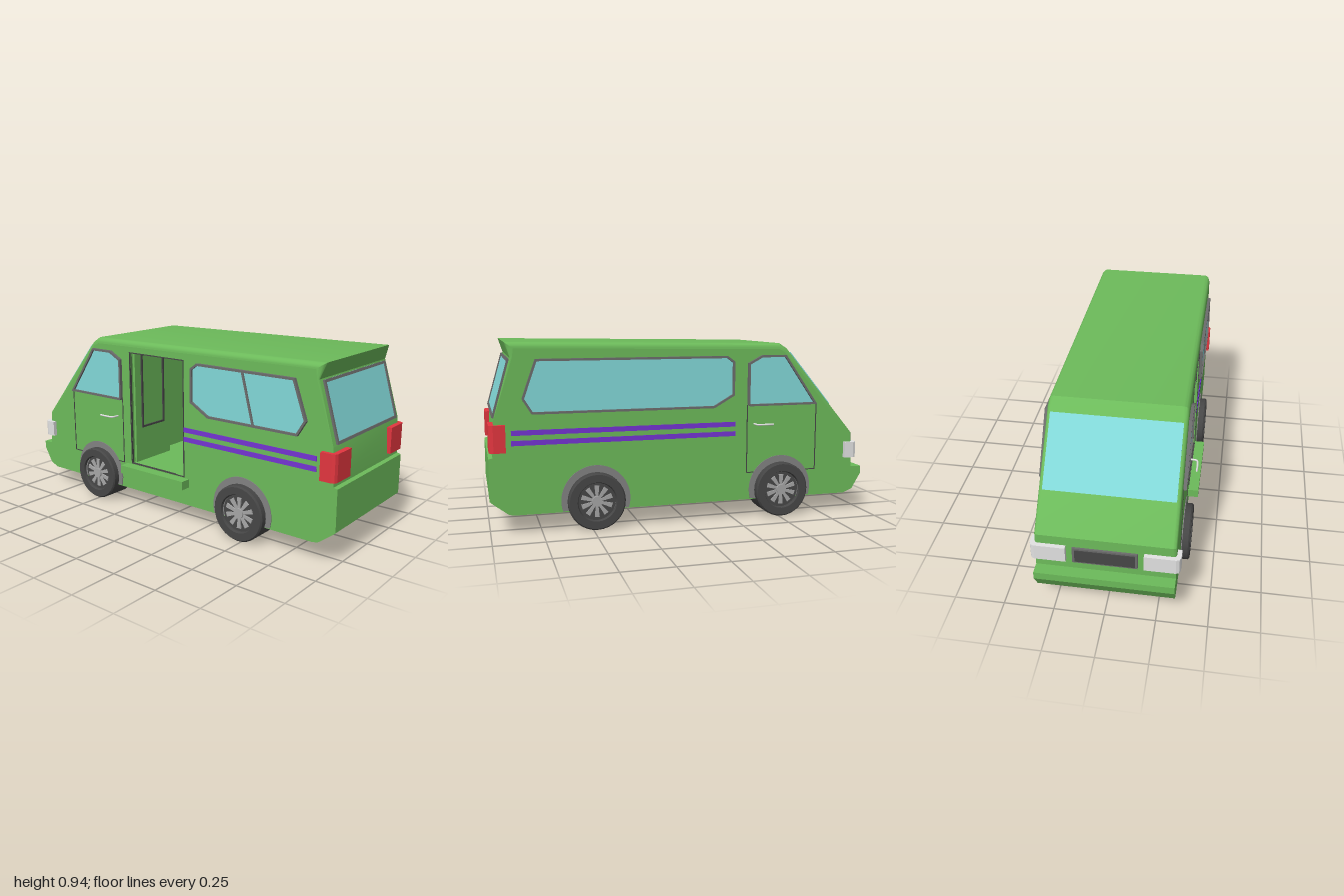
import * as THREE from 'three';
import { toCreasedNormals } from 'three/addons/utils/BufferGeometryUtils.js';

const mat = (name, color) => new THREE.MeshStandardMaterial({ name, color, side: THREE.DoubleSide });
const M = {
  green: mat('body green', 0x6cba5a), glass: mat('window teal', 0x82d8d8), dark: mat('rubber dark', 0x464646),
  trim: mat('trim grey', 0x6c6c6c), arch: mat('arch grey', 0x828282), red: mat('lamp red', 0xe2363f),
  purple: mat('stripe purple', 0x7434d2), brown: mat('seat brown', 0xb2745a), silver: mat('light silver', 0xe2e2e2),
  alloy: mat('alloy grey', 0xa6a6a6),
};
const W = 0.335; // body half width

// Side profile, clockwise from the front bottom: x, y, edge rounding
const PROFILE = [
  [-0.9, 0.095, 0], [-0.95, 0.115, 0], [-1, 0.2, 0], [-1, 0.24, 0], [-0.94, 0.24, 0], [-0.94, 0.43, 0.02],
  [-0.55, 0.893, 0.025], [-0.51, 0.92, 0.03], [0.91, 0.94, 0.03], [0.885, 0.865, 0.01], [0.97, 0.57, 0],
  [0.98, 0.385, 0], [1, 0.38, 0], [1, 0.17, 0], [0.98, 0.153, 0], [0.91, 0.1, 0], [0.88, 0.095, 0],
];

// Mitred inward direction at each corner of a clockwise outline
function miters(pts) {
  const n = pts.length;
  const normal = (a, b) => new THREE.Vector2(b[1] - a[1], a[0] - b[0]).normalize();
  return pts.map((p, i) => {
    const a = normal(pts[(i + n - 1) % n], p), b = normal(p, pts[(i + 1) % n]);
    return a.clone().add(b).divideScalar(1 + a.dot(b));
  });
}
function inset(pts, d) {
  return miters(pts).map((m, i) => {
    const r = d ?? pts[i][2];
    return [pts[i][0] + m.x * r, pts[i][1] + m.y * r];
  });
}
const shapeOf = (pts, holes = []) => {
  const s = new THREE.Shape(pts.map(p => new THREE.Vector2(...p)));
  s.holes = holes.map(h => new THREE.Path(h.map(p => new THREE.Vector2(...p))));
  return s;
};
const rect = (x0, x1, y0, y1) => [[x0, y0], [x0, y1], [x1, y1], [x1, y0]];

function add(g, name, geo, m, x = 0, y = 0, z = 0) {
  const mesh = new THREE.Mesh(geo, m);
  mesh.name = name;
  mesh.position.set(x, y, z);
  g.add(mesh);
  return mesh;
}
// Box from its limits
const box = (g, name, m, x0, x1, y0, y1, z0, z1) =>
  add(g, name, new THREE.BoxGeometry(x1 - x0, y1 - y0, z1 - z0), m, (x0 + x1) / 2, (y0 + y1) / 2, (z0 + z1) / 2);
// Plate in the side plane between distances z0 < z1 from the middle, on side s
function slab(g, name, m, shape, z0, z1, s) {
  const geo = new THREE.ExtrudeGeometry(shape, { depth: z1 - z0, bevelEnabled: false, curveSegments: 20 });
  return add(g, name, geo, m, 0, 0, s > 0 ? z0 : -z1);
}

// Skin wrapped across the body with rounded roof edges
function skin(first, last) {
  const N = 6, n = PROFILE.length, mit = miters(PROFILE), pos = [];
  const at = (i, j) => {
    const [x, y, r] = PROFILE[i % n], m = mit[i % n], s = j <= N ? -1 : 1;
    const t = (s < 0 ? N - j : j - N - 1) / N * Math.PI / 2, d = r * (1 - Math.cos(t));
    return [x + m.x * d, y + m.y * d, s * (W - r + r * Math.sin(t))];
  };
  for (let i = first; i < last; i++) for (let j = 0; j < 2 * N + 1; j++) {
    const a = at(i, j), b = at(i, j + 1), c = at(i + 1, j + 1), d = at(i + 1, j);
    pos.push(...a, ...b, ...c, ...a, ...c, ...d);
  }
  const geo = new THREE.BufferGeometry();
  geo.setAttribute('position', new THREE.Float32BufferAttribute(pos, 3));
  return toCreasedNormals(geo, 0.4);
}

// Tilted plate lying on the line from a to b of the profile
function leaning(g, name, m, a, b, width, thick, lift) {
  const dx = b[0] - a[0], dy = b[1] - a[1], len = Math.hypot(dx, dy);
  const mesh = add(g, name, new THREE.BoxGeometry(len, thick, width), m,
    (a[0] + b[0]) / 2 - dy / len * lift, (a[1] + b[1]) / 2 + dx / len * lift, 0);
  mesh.rotation.z = Math.atan2(dy, dx);
  return mesh;
}

// Raised frame around a pane that reaches through the body wall
function windowUnit(g, name, pts, s) {
  const inner = inset(pts, 0.011);
  slab(g, name + 'Frame', M.trim, shapeOf(pts, [inner]), W - 0.02, W + 0.016, s);
  slab(g, name + 'Glass', M.glass, shapeOf(inner), W - 0.023, W + 0.006, s);
}

// Lamp wrapping a body corner, with chamfered outer corner; e = end, s = side
function cornerLamp(g, name, m, e, s, xIn, xOut, zIn, zOut, y0, y1) {
  const c = 0.022;
  const pts = [[xIn, zIn], [xOut, zIn], [xOut, zOut - c], [xOut - c * 0.3, zOut - c * 0.3], [xOut - c, zOut], [xIn, zOut]];
  const geo = new THREE.ExtrudeGeometry(shapeOf(pts.map(p => [p[0] * e, -p[1] * s])), { depth: y1 - y0, bevelEnabled: false });
  geo.rotateX(-Math.PI / 2);
  add(g, name, geo, m, 0, y0, 0);
}

function wheel(x, s) {
  const g = new THREE.Group();
  g.name = 'wheel';
  const h = 0.0775;
  const tyre = new THREE.LatheGeometry([[0.095, -h + 0.012], [0.1, -h], [0.138, -h], [0.145, -h + 0.008],
    [0.145, h - 0.008], [0.138, h], [0.1, h], [0.095, h - 0.012]].map(p => new THREE.Vector2(...p)), 32);
  add(g, 'tyre', toCreasedNormals(tyre.rotateX(Math.PI / 2), 0.5), M.dark);
  add(g, 'wheelDisc', new THREE.CylinderGeometry(0.097, 0.097, 0.11, 32).rotateX(Math.PI / 2), M.dark);
  add(g, 'hub', new THREE.CylinderGeometry(0.027, 0.027, 0.14, 16).rotateX(Math.PI / 2), M.alloy);
  const spokeShape = shapeOf([[0.02, -0.006], [0.02, 0.006], [0.08, 0.012], [0.08, -0.012]]);
  for (let i = 0; i < 10; i++) {
    const spoke = new THREE.ExtrudeGeometry(spokeShape, { depth: 0.125, bevelEnabled: false });
    add(g, 'spoke', spoke.translate(0, 0, -0.0625).rotateZ((i + 0.5) * Math.PI / 5), M.alloy);
  }
  g.position.set(x, 0.145, s * 0.2985);
  return g;
}

// Slim bowed pull handle
function handle(g, s) {
  const path = new THREE.CatmullRomCurve3([[-0.365, W - 0.005], [-0.37, W + 0.04], [-0.4, W + 0.046], [-0.455, W + 0.046]]
    .map(([x, z]) => new THREE.Vector3(x, 0.5, z * s)));
  add(g, 'doorHandle', new THREE.TubeGeometry(path, 20, 0.005, 8), M.silver);
}

export function createModel() {
  const g = new THREE.Group();
  g.name = 'van';
  add(g, 'bodySkin', skin(0, 14), M.green);
  add(g, 'underbody', skin(14, 17), M.dark);
  box(g, 'cabinFloor', M.green, -0.9, 0.94, 0.235, 0.25, -0.32, 0.32);
  box(g, 'bulkhead', M.green, -0.325, -0.315, 0.25, 0.91, -0.32, 0.32);

  const cabWindow = [[-0.72, 0.595], [-0.535, 0.86], [-0.4, 0.86], [-0.325, 0.82], [-0.325, 0.605], [-0.335, 0.595]];
  const rearWindow = x => [[x, 0.655], [x, 0.83], [x + 0.04, 0.859], [0.768, 0.859], [0.836, 0.668], [0.79, 0.592], [x + 0.11, 0.592]];
  const doorway = rect(-0.262, 0.105, 0.25, 0.86);

  for (const s of [1, -1]) {
    const rear = rearWindow(s > 0 ? 0.162 : -0.25);
    const holes = [cabWindow, rear];
    if (s > 0) holes.push(doorway);
    slab(g, 'sidePanel', M.green, shapeOf(inset(PROFILE), holes), W - 0.02, W, s);
    windowUnit(g, 'cabWindow', cabWindow, s);
    windowUnit(g, 'rearSideWindow', rear, s);

    // Cab door seams and handle
    const seam = (x0, x1, y0, y1) => slab(g, 'doorSeam', M.dark, shapeOf(rect(x0, x1, y0, y1)), W - 0.01, W + 0.002, s);
    seam(-0.722, -0.717, 0.24, 0.6);
    seam(-0.328, -0.323, 0.24, 0.6);
    seam(-0.72, -0.325, 0.238, 0.243);
    handle(g, s);

    // Twin stripes
    for (const y of [0.44, 0.49])
      slab(g, 'stripe', M.purple, shapeOf(rect(s > 0 ? 0.108 : -0.26, 0.89, y, y + 0.025)), W, W + 0.003, s);

    // Wheels and arches, with housings above the floor
    for (const x of [-0.515, 0.48]) {
      const arch = new THREE.Shape();
      const low = Math.asin(0.05 / 0.175);
      arch.absarc(x, 0.15, 0.175, -low, Math.PI + low, false);
      slab(g, 'wheelArch', M.arch, arch, W - 0.005, W + 0.004, s);
      slab(g, 'wheelHousing', M.green, shapeOf(rect(x - 0.13, x + 0.13, 0.24, 0.3)), 0.21, 0.32, s);
      g.add(wheel(x, s));
    }
    cornerLamp(g, 'tailLight', M.red, 1, s, 0.917, 0.997, 0.212, 0.356, 0.41, 0.545);
    cornerLamp(g, 'headlight', M.silver, -1, s, 0.89, 0.962, 0.185, 0.356, 0.295, 0.38);
  }

  // Divider of the near rear window
  slab(g, 'windowDivider', M.trim, shapeOf([[0.47, 0.855], [0.482, 0.855], [0.549, 0.597], [0.537, 0.597]]), W, W + 0.012, 1);

  // Sliding doorway: thin frame, step and inner door leaf
  slab(g, 'doorwayFrame', M.dark, shapeOf(rect(-0.267, 0.11, 0.245, 0.865), [doorway]), W - 0.01, W + 0.003, 1);
  box(g, 'sideStep', M.green, -0.3, 0.14, 0.195, 0.24, 0.32, 0.39);
  box(g, 'doorLeaf', M.green, -0.262, -0.248, 0.25, 0.86, 0.04, 0.315);
  const leafTrim = (z0, z1, y0, y1) => box(g, 'leafTrim', M.dark, -0.25, -0.24, y0, y1, z0, z1);
  leafTrim(0.09, 0.1, 0.44, 0.85);
  leafTrim(0.26, 0.27, 0.44, 0.85);
  leafTrim(0.09, 0.27, 0.44, 0.45);
  leafTrim(0.09, 0.27, 0.84, 0.85);

  // Bench along the far wall
  box(g, 'benchCushion', M.brown, -0.238, 0.6, 0.34, 0.39, -0.31, -0.12);
  box(g, 'benchBack', M.brown, -0.238, 0.6, 0.385, 0.562, -0.315, -0.25);
  for (const x of [-0.05, 0.5]) box(g, 'benchLeg', M.dark, x - 0.004, x + 0.004, 0.25, 0.34, -0.29, -0.14);

  // Windscreen
  leaning(g, 'windscreen', M.glass, [-0.805, 0.59], [-0.57, 0.869], 0.63, 0.006, 0.002);

  // Rear window with frame bars
  const A = [0.969, 0.574], B = [0.887, 0.858], p = t => [A[0] + (B[0] - A[0]) * t, A[1] + (B[1] - A[1]) * t];
  leaning(g, 'rearGlass', M.glass, B, A, 0.6, 0.006, 0.001);
  leaning(g, 'rearFrameTop', M.trim, B, p(0.955), 0.61, 0.016, 0.002);
  leaning(g, 'rearFrameBottom', M.trim, p(0.045), A, 0.61, 0.016, 0.002);
  for (const s of [1, -1])
    leaning(g, 'rearFrameSide', M.trim, B, A, 0.013, 0.016, 0.002).position.z = s * 0.299;

  // Grille
  box(g, 'grilleFrame', M.trim, -0.95, -0.93, 0.285, 0.375, -0.155, 0.155);
  box(g, 'grille', M.dark, -0.954, -0.93, 0.295, 0.365, -0.143, 0.143);
  return g;
}
